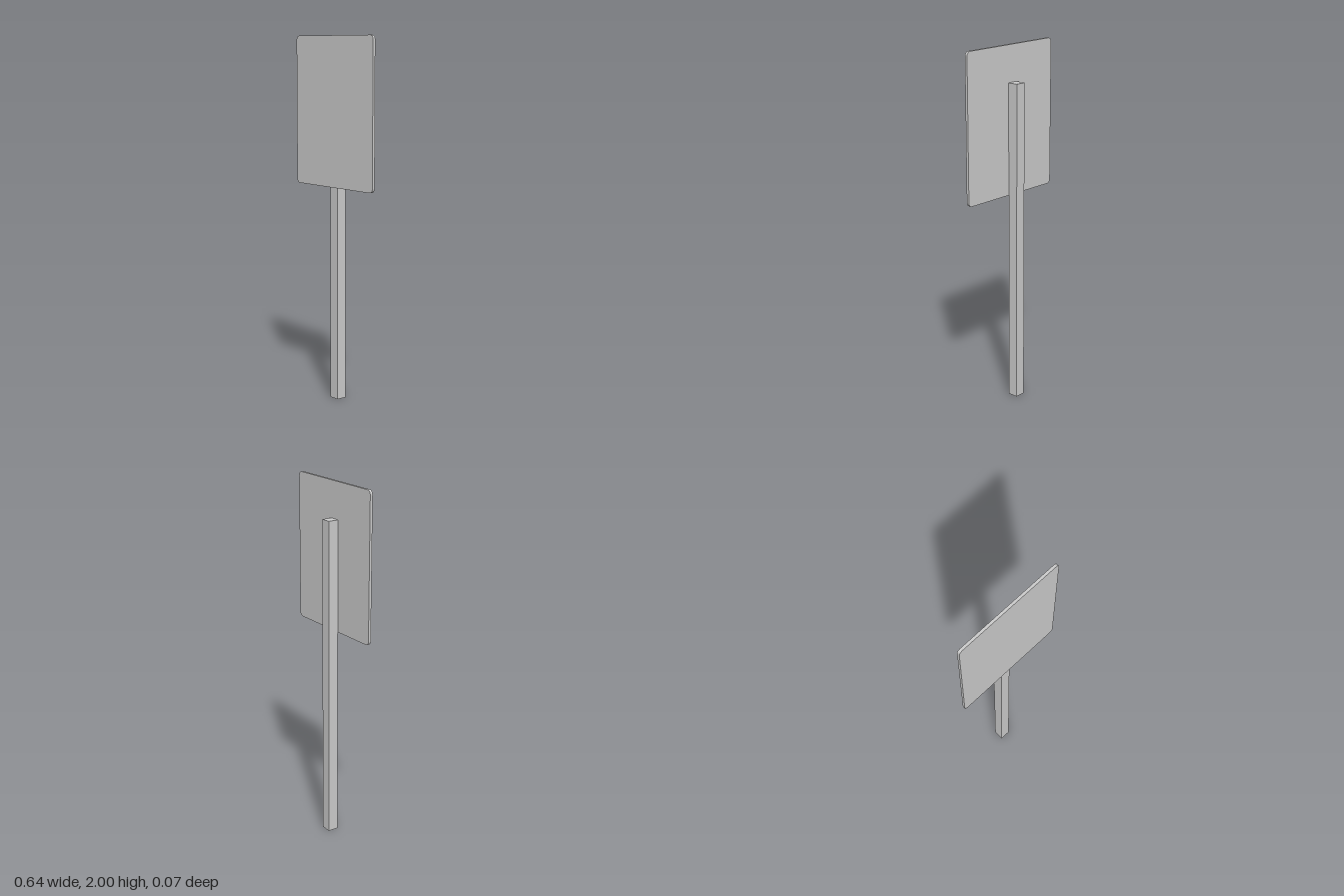
import * as THREE from 'three';

const material = new THREE.MeshStandardMaterial({ color: 0xcccccc, flatShading: true });

// Rectangle outline with rounded corners
function roundedRect(x0, y0, x1, y1, r) {
  const s = new THREE.Shape();
  s.absarc(x1 - r, y0 + r, r, -Math.PI / 2, 0);
  s.absarc(x1 - r, y1 - r, r, 0, Math.PI / 2);
  s.absarc(x0 + r, y1 - r, r, Math.PI / 2, Math.PI);
  s.absarc(x0 + r, y0 + r, r, Math.PI, Math.PI * 1.5);
  s.closePath();
  return s;
}

export function createModel() {
  const group = new THREE.Group();
  group.name = 'signpost';

  // Square post, slightly off centre behind the panel
  const post = new THREE.Mesh(new THREE.BoxGeometry(0.06, 1.8, 0.058), material);
  post.name = 'post';
  post.position.set(-0.014, 0.9, -0.008);
  group.add(post);

  // Thin sign panel with rounded corners
  const panelGeometry = new THREE.ExtrudeGeometry(roundedRect(-0.322, 1.186, 0.322, 2, 0.024), {
    depth: 0.015, bevelEnabled: false, curveSegments: 5,
  });
  const panel = new THREE.Mesh(panelGeometry, material);
  panel.name = 'signPanel';
  panel.position.z = 0.021;
  group.add(panel);

  return group;
}
